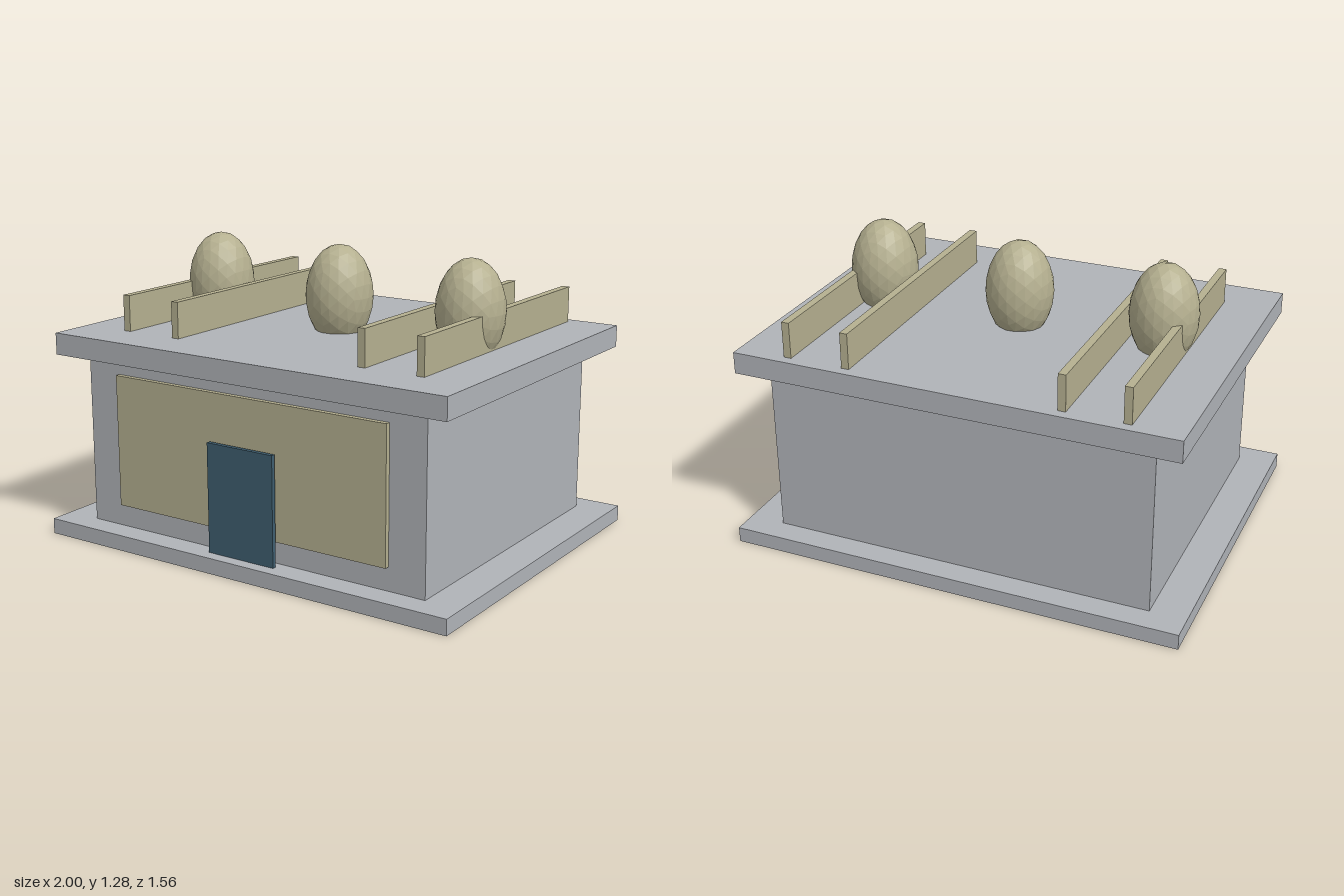
import * as THREE from 'three';

export function createModel() {
  const model = new THREE.Group();
  const material = (name, color) => {
    const m = new THREE.MeshStandardMaterial({ color });
    m.name = name;
    return m;
  };
  const stone = material('greyStone', 0xb0b3b8);
  const sand = material('sand', 0xb5b090);
  const blue = material('darkBlue', 0x3f5e70);
  sand.flatShading = true;

  // Box given by its extents along each axis
  function box(name, mat, [x0, x1], [y0, y1], [z0, z1]) {
    const mesh = new THREE.Mesh(new THREE.BoxGeometry(x1 - x0, y1 - y0, z1 - z0), mat);
    mesh.position.set((x0 + x1) / 2, (y0 + y1) / 2, (z0 + z1) / 2);
    mesh.name = name;
    model.add(mesh);
  }

  // Building body
  box('basePlinth', stone, [-1, 1], [0, 0.068], [-0.778, 0.778]);
  box('walls', stone, [-0.843, 0.843], [0.068, 0.81], [-0.669, 0.669]);
  box('roofSlab', stone, [-0.967, 0.967], [0.81, 0.905], [-0.744, 0.744]);

  // Front panel, with the door standing just clear of it
  box('frontPanel', sand, [-0.677, 0.677], [0.168, 0.746], [0.669, 0.691]);
  box('door', blue, [-0.164, 0.164], [0.068, 0.542], [0.705, 0.724]);

  // Two pairs of roof rails
  for (const x of [-0.735, -0.468, 0.468, 0.735]) {
    box('roofRail', sand, [x - 0.017, x + 0.017], [0.905, 1.062], [-0.7, 0.545]);
  }

  // Faceted egg-shaped domes sunk into the roof
  const dome = new THREE.IcosahedronGeometry(0.147, 3).scale(1, 1.5, 1);
  for (const x of [-0.644, 0, 0.644]) {
    const mesh = new THREE.Mesh(dome, sand);
    mesh.position.set(x, 1.057, 0);
    mesh.name = 'roofDome';
    model.add(mesh);
  }
  return model;
}
